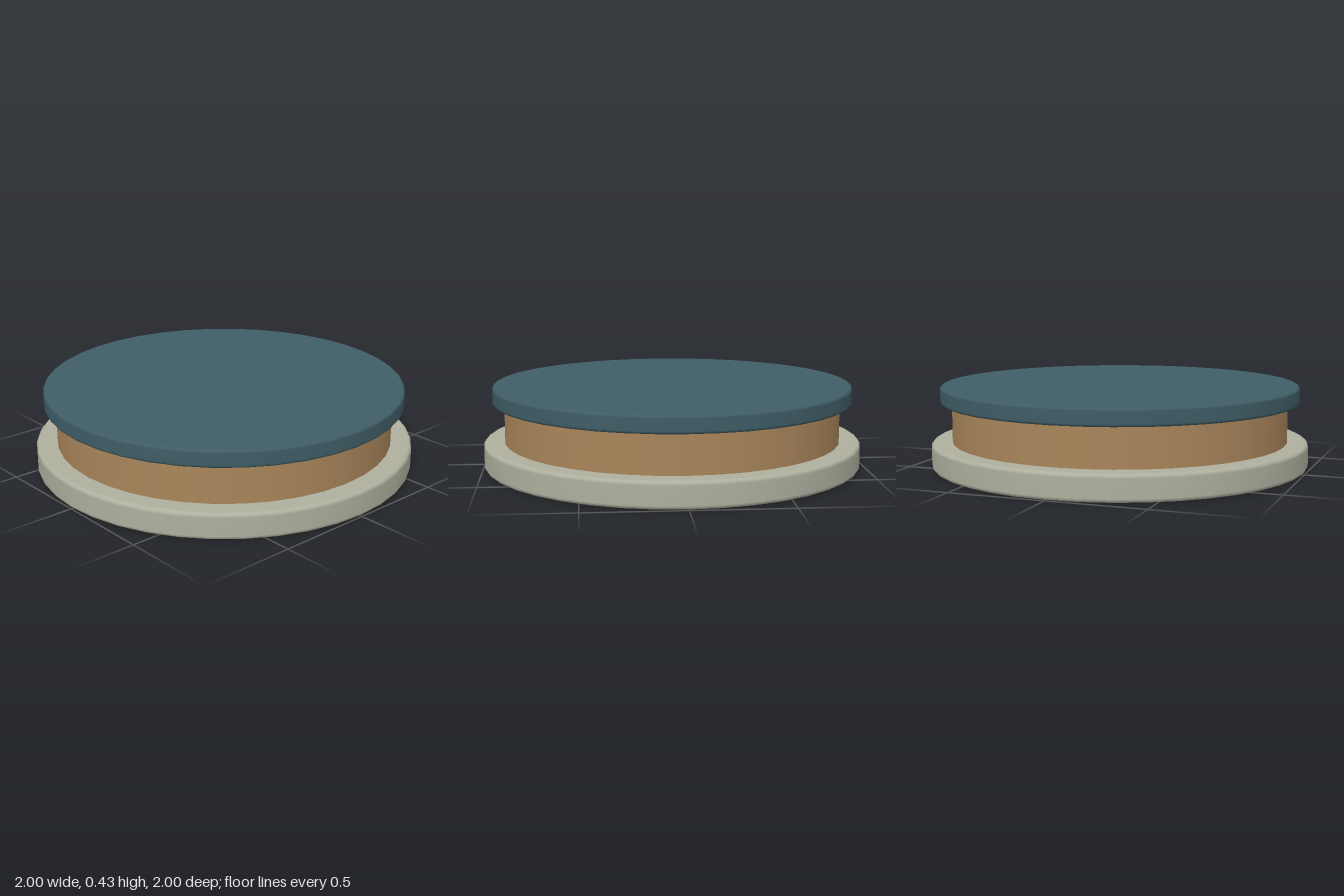
import * as THREE from 'three';

const SIDES = 40;

// Solid disc with softly rounded upper and lower rims
function roundedDisc(radius, bottom, top, bevel) {
  const points = [new THREE.Vector2(0, bottom), new THREE.Vector2(radius - bevel - 0.003, bottom)];
  const steps = 4;
  for (const [y, start] of [[bottom + bevel, -Math.PI / 2], [top - bevel, 0]]) {
    for (let i = 0; i <= steps; i++) {
      const a = start + (i / steps) * Math.PI / 2;
      points.push(new THREE.Vector2(radius - bevel + bevel * Math.cos(a), y + bevel * Math.sin(a)));
    }
  }
  points.push(new THREE.Vector2(radius - bevel - 0.003, top), new THREE.Vector2(0, top));
  return new THREE.LatheGeometry(points, SIDES);
}

export function createModel() {
  const material = (name, color) => {
    const m = new THREE.MeshStandardMaterial({ color });
    m.name = name;
    return m;
  };
  const stone = material('pale stone', 0xafaf9f);
  const tan = material('tan', 0xa9855a);
  const teal = material('dark teal', 0x3f5d66);

  const model = new THREE.Group();
  model.name = 'roundPedestal';
  const add = (name, geometry, mat, y = 0) => {
    const mesh = new THREE.Mesh(geometry, mat);
    mesh.name = name;
    mesh.position.y = y;
    model.add(mesh);
  };

  // Wide foot, recessed drum and overhanging top
  add('base', roundedDisc(1, 0, 0.135, 0.02), stone);
  add('drum', new THREE.CylinderGeometry(0.89, 0.89, 0.23, SIDES), tan, 0.235);
  add('topPlate', roundedDisc(0.95, 0.34, 0.43, 0.015), teal);

  return model;
}
